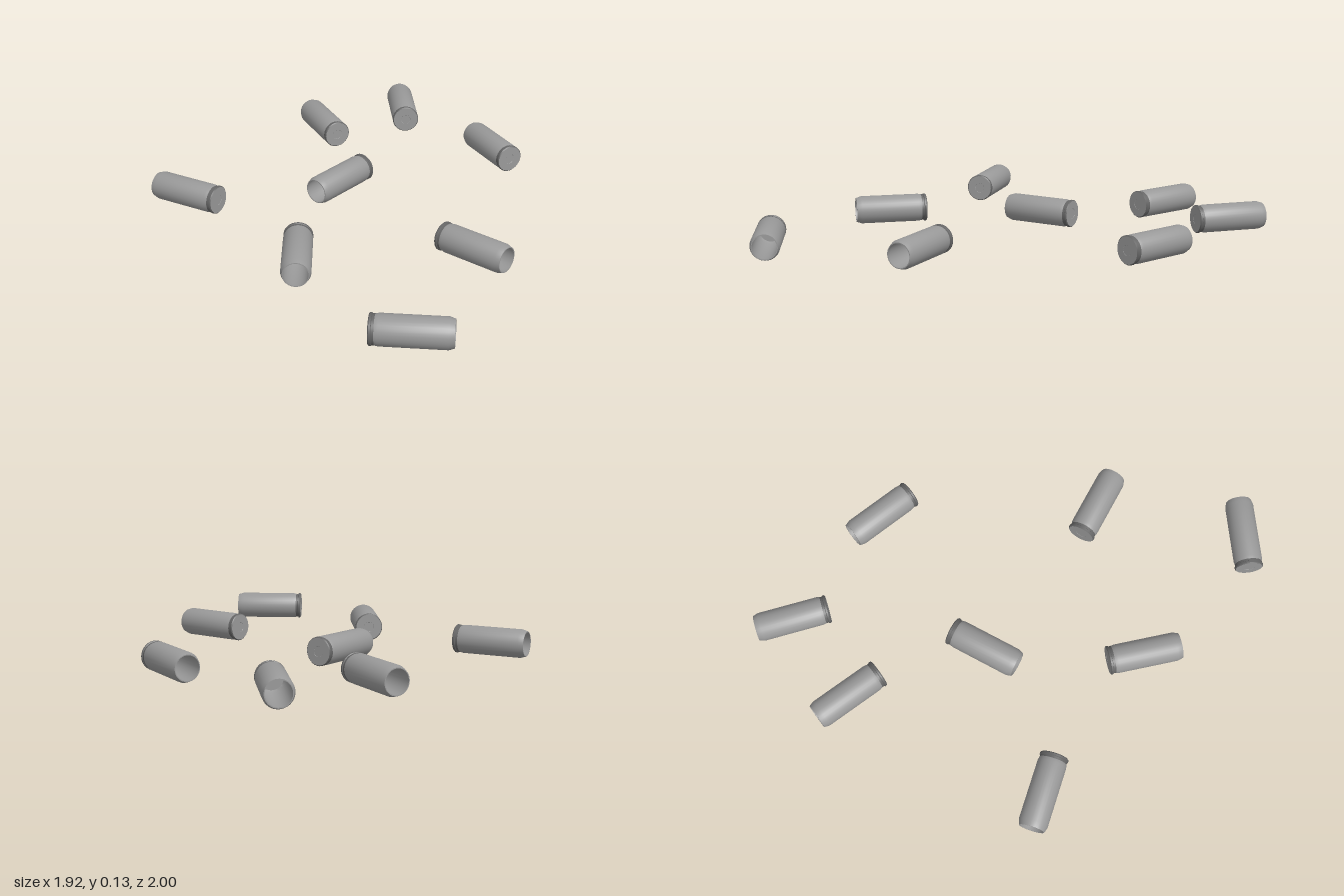
import * as THREE from 'three';
import { toCreasedNormals } from 'three/addons/utils/BufferGeometryUtils.js';

const LENGTH = 0.345;
const RADIUS = 0.067;
const REST_HEIGHT = 0.072;
const GREY = new THREE.MeshStandardMaterial({ color: 0x999999 });
const DARK = new THREE.MeshStandardMaterial({ color: 0x666666 });

// Lathe profiles as [radius, distance from base], running from the base to the mouth and back inside
const PARTS = [
  {
    name: 'baseFace', // with a nearly flush primer
    material: GREY,
    profile: [[0, 0.001], [0.024, 0.001], [0.025, 0], [0.063, 0]],
  },
  {
    name: 'rimAndGroove',
    material: DARK,
    profile: [[0.063, 0], [0.067, 0.004], [0.067, 0.012], [0.0635, 0.014], [0.0635, 0.025]],
  },
  {
    name: 'wall', // shoulder, straight wall, tapered mouth and hollow
    material: GREY,
    profile: [
      [0.0635, 0.025], [RADIUS, 0.04], [RADIUS, LENGTH - 0.025], [0.059, LENGTH],
      [0.055, LENGTH], [0.058, LENGTH - 0.025], [0.058, 0.06], [0.05, 0.045], [0, 0.045],
    ],
  },
];

// Each case on the ground: base x, z and mouth x, z
const CASES = [
  [-0.578, -0.574, -0.657, -0.907],
  [0.314, -0.661, 0.44, -0.976],
  [0.692, -0.523, 0.917, -0.769],
  [0.136, -0.309, -0.213, -0.293],
  [-0.562, -0.056, -0.808, 0.177],
  [-0.903, 0.69, -0.702, 0.963],
  [-0.134, 0.425, -0.115, 0.769],
  [0.679, 0.177, 0.795, -0.146],
];

export function createModel() {
  const group = new THREE.Group();
  group.name = 'scatteredCases';

  const geometries = PARTS.map(({ profile }) => {
    const points = profile.map(([r, y]) => new THREE.Vector2(r, y - LENGTH / 2));
    return toCreasedNormals(new THREE.LatheGeometry(points, 32), 0.6);
  });

  // Lay every case on its side, pointing from base to mouth
  const up = new THREE.Vector3(0, 1, 0);
  CASES.forEach(([bx, bz, mx, mz], i) => {
    const holder = new THREE.Group();
    holder.name = `case${i + 1}`;
    PARTS.forEach(({ name, material }, k) => {
      const mesh = new THREE.Mesh(geometries[k], material);
      mesh.name = name;
      holder.add(mesh);
    });
    holder.position.set((bx + mx) / 2, REST_HEIGHT, (bz + mz) / 2);
    holder.quaternion.setFromUnitVectors(up, new THREE.Vector3(mx - bx, 0, mz - bz).normalize());
    group.add(holder);
  });
  return group;
}
